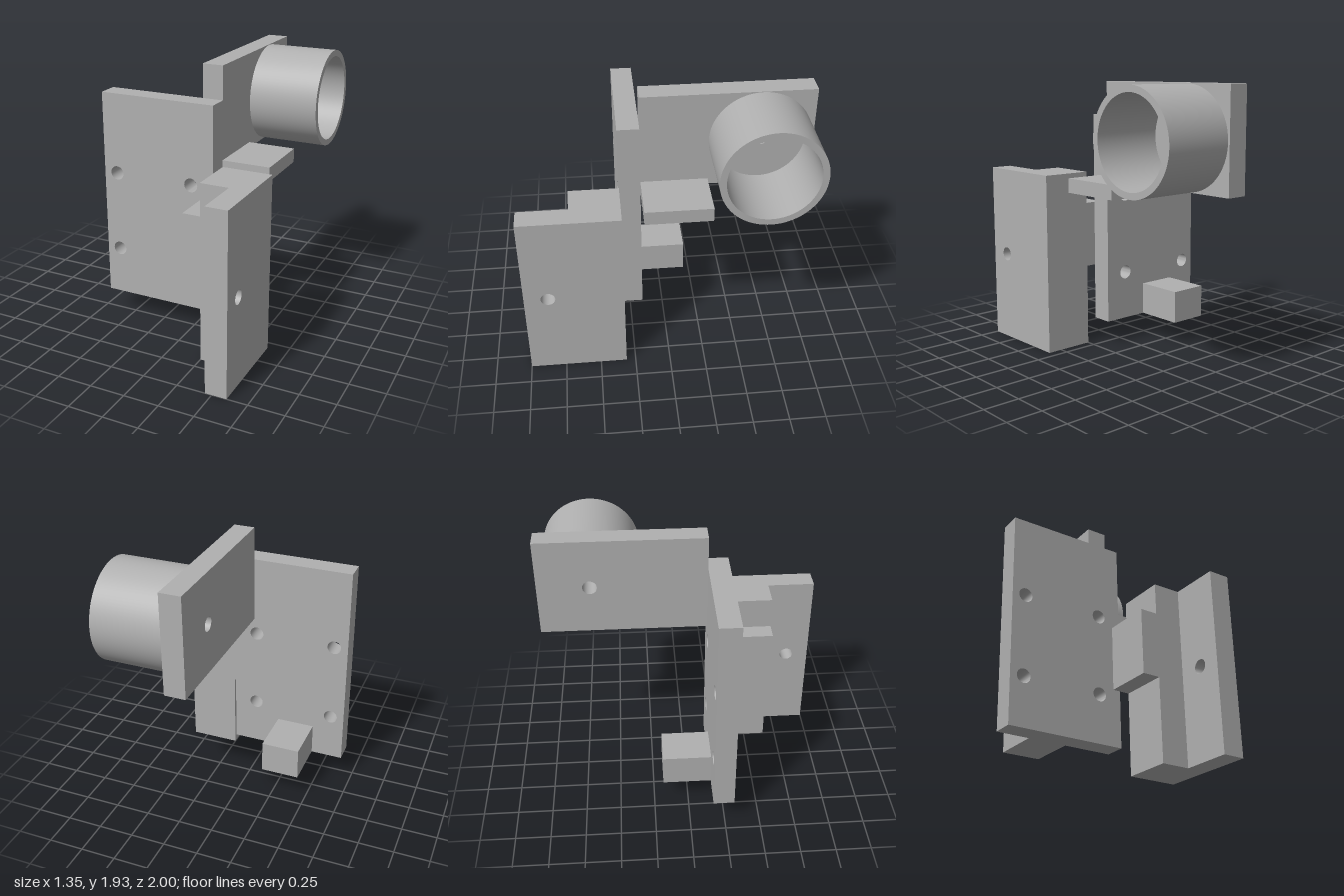
import * as THREE from 'three';
import { toCreasedNormals } from 'three/addons/utils/BufferGeometryUtils.js';

const grey = new THREE.MeshStandardMaterial({ color: 0xb0b0b0 });
grey.name = 'grey';

export function createModel() {
  const model = new THREE.Group();
  model.name = 'bracketAssembly';

  const add = (name, geometry) => {
    const mesh = new THREE.Mesh(geometry, grey);
    mesh.name = name;
    model.add(mesh);
  };

  // Box given by its limits on each axis
  const block = (name, [x0, x1], [y0, y1], [z0, z1]) =>
    add(name, new THREE.BoxGeometry(x1 - x0, y1 - y0, z1 - z0)
      .translate((x0 + x1) / 2, (y0 + y1) / 2, (z0 + z1) / 2));

  const rectangle = (u0, u1, v0, v1) => new THREE.Shape([
    new THREE.Vector2(u0, v0), new THREE.Vector2(u1, v0),
    new THREE.Vector2(u1, v1), new THREE.Vector2(u0, v1)]);

  const drill = (shape, u, v, radius) => {
    shape.holes.push(new THREE.Path().absarc(u, v, radius, 0, Math.PI * 2, true));
    return shape;
  };

  const extrude = (shape, depth, curveSegments = 16) => toCreasedNormals(
    new THREE.ExtrudeGeometry(shape, { depth, bevelEnabled: false, curveSegments }), 0.6);

  // Extrusion along x; the shape is drawn in (-z, y)
  const extrudeX = (shape, x0, x1, segments) =>
    extrude(shape, x1 - x0, segments).rotateY(Math.PI / 2).translate(x0, 0, 0);

  // Front plate with four bolt holes
  const front = rectangle(-0.675, 0.178, 0.18, 1.695);
  for (const x of [-0.575, 0.01])
    for (const y of [0.53, 1.115]) drill(front, x, y, 0.05);
  add('frontPlate', extrude(front, 0.15).translate(0, 0, 0.165));

  // Foot block behind the front plate
  block('footBlock', [-0.443, -0.168], [0.18, 0.412], [-0.182, 0.165]);

  // Side plate with a hole on the axis of the tube
  const side = drill(rectangle(-0.165, 1, 1.232, 1.93), 0.64, 1.58, 0.05);
  add('sidePlate', extrudeX(side, 0.03, 0.178));

  // Open tube holder
  const ring = new THREE.Shape().absarc(0.64, 1.58, 0.346, 0, Math.PI * 2, false);
  add('tube', extrudeX(drill(ring, 0.64, 1.58, 0.302), 0.178, 0.673, 48));

  // Shelf under the tube
  block('shelf', [0.178, 0.525], [1.175, 1.275], [-0.295, 0.165]);

  // Separate clamp: drilled arm, thick post and locating tab
  const arm = drill(rectangle(-1, -0.315, 0, 1.285), -0.835, 0.645, 0.05);
  add('clampArm', extrudeX(arm, 0.452, 0.605));
  block('clampPost', [0.25, 0.452], [0, 1.285], [0.315, 0.657]);
  block('clampTab', [0.123, 0.25], [0.588, 1.057], [0.315, 0.657]);

  return model;
}
